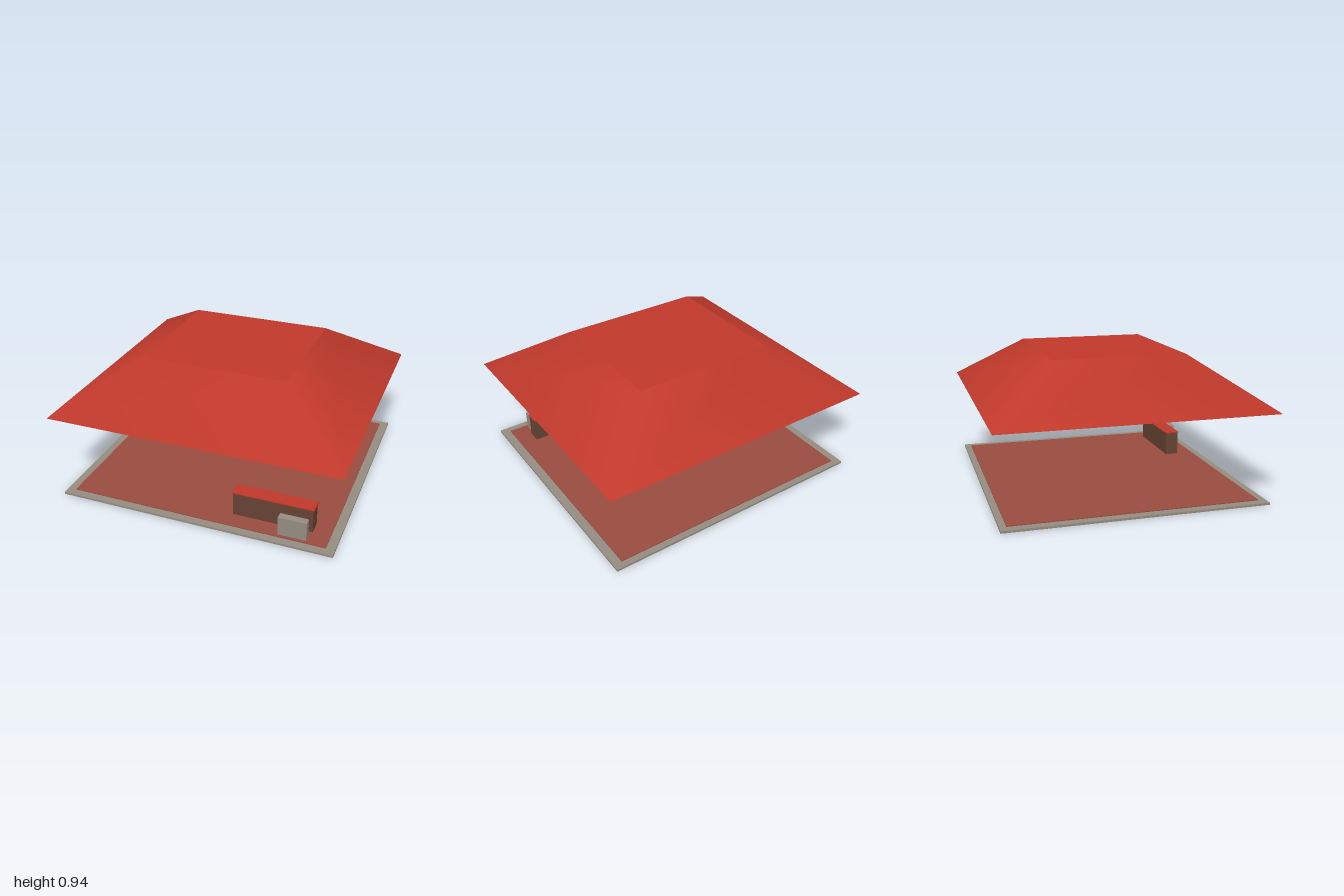
import * as THREE from 'three';

const material = (name, color) => {
  const m = new THREE.MeshStandardMaterial({ color });
  m.name = name;
  return m;
};

export function createModel() {
  const model = new THREE.Group();
  model.name = 'pavilion';

  const red = material('roof red', 0xc0392b);
  const clay = material('floor clay', 0x994c40);
  const stone = material('stone grey', 0x958c80);
  const wood = material('dark wood', 0x654334);
  const cream = material('ceiling cream', 0xe8dcc0);
  const lampColor = material('lamp beige', 0xe0cfae);

  // Box given by its extents along each axis
  const box = (name, mat, [x0, x1], [y0, y1], [z0, z1]) => {
    const mesh = new THREE.Mesh(new THREE.BoxGeometry(x1 - x0, y1 - y0, z1 - z0), mat);
    mesh.position.set((x0 + x1) / 2, (y0 + y1) / 2, (z0 + z1) / 2);
    mesh.name = name;
    model.add(mesh);
  };

  // Ground slab and floor
  box('baseSlab', stone, [-0.96, 0.96], [0, 0.015], [-0.88, 0.88]);
  box('floor', clay, [-0.9, 0.9], [0.01, 0.021], [-0.835, 0.825]);

  // Counter with a slightly overhanging top
  box('counter', wood, [0.23, 0.78], [0.02, 0.19], [0.61, 0.705]);
  box('counterTop', red, [0.225, 0.785], [0.19, 0.197], [0.605, 0.71]);

  // Small block in front of the counter
  box('frontBlock', stone, [0.573, 0.765], [0.015, 0.155], [0.755, 0.805]);

  // Ceiling panel and the lamp below it
  box('ceiling', cream, [-0.89, 0.89], [0.602, 0.618], [-0.81, 0.81]);
  box('ceilingLamp', lampColor, [-0.1, 0.1], [0.593, 0.603], [-0.022, 0.022]);

  // Truncated hip roof, softly shaded around its corners
  const roofGeometry = new THREE.CylinderGeometry(Math.SQRT1_2, Math.SQRT2, 0.325, 4);
  roofGeometry.rotateY(Math.PI / 4);
  roofGeometry.scale(1, 1, 0.916);
  const roof = new THREE.Mesh(roofGeometry, red);
  roof.position.y = 0.615 + 0.325 / 2;
  roof.name = 'roof';
  model.add(roof);

  return model;
}
